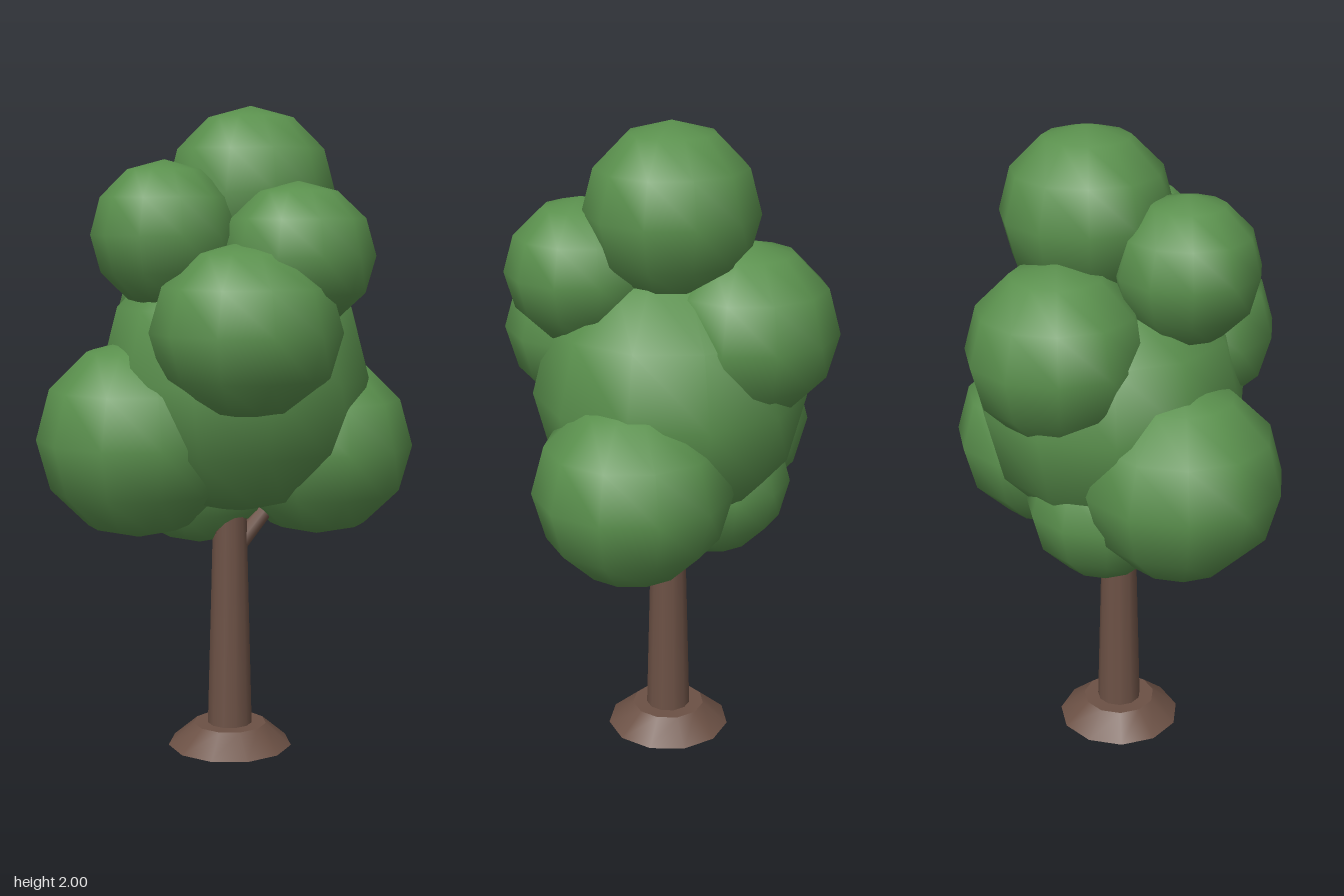
import * as THREE from 'three';

export function createModel() {
  const tree = new THREE.Group();
  tree.name = 'tree';

  const leafGreen = new THREE.MeshStandardMaterial({ color: 0x5a904d });
  leafGreen.name = 'leafGreen';
  const barkBrown = new THREE.MeshStandardMaterial({ color: 0x6c5145 });
  barkBrown.name = 'barkBrown';

  const SIDES = 11;

  // Foliage balls: name, centre x y z, horizontal radius, vertical radius
  const balls = [
    ['foliageCore', 0.02, 1.18, -0.03, 0.415, 0.43],
    ['foliageTop', 0.07, 1.74, -0.08, 0.26, 0.26],
    ['foliageUpperRight', -0.186, 1.615, 0.112, 0.22, 0.22],
    ['foliageUpperLeft', 0.208, 1.555, 0.148, 0.23, 0.217],
    ['foliageFront', 0.055, 1.337, 0.237, 0.285, 0.263],
    ['foliageBack', -0.075, 1.386, -0.249, 0.273, 0.27],
    ['foliageLowerRight', -0.273, 0.997, 0.053, 0.31, 0.307],
    ['foliageLowerLeft', 0.283, 0.956, -0.118, 0.298, 0.289],
    ['foliageUnderside', -0.09, 0.878, -0.11, 0.24, 0.238],
  ];
  const ballGeometry = new THREE.SphereGeometry(1, SIDES, 6);
  ballGeometry.rotateY(-Math.PI / 2);
  for (const [name, x, y, z, r, h] of balls) {
    const ball = new THREE.Mesh(ballGeometry, leafGreen);
    ball.name = name;
    ball.position.set(x, y, z);
    ball.scale.set(r, h, r);
    tree.add(ball);
  }

  // Tapered post between two points
  function post(name, from, to, rFrom, rTo, sides) {
    const a = new THREE.Vector3(...from);
    const b = new THREE.Vector3(...to);
    const dir = b.clone().sub(a);
    const geometry = new THREE.CylinderGeometry(rTo, rFrom, dir.length(), sides);
    geometry.rotateY(Math.PI);
    const mesh = new THREE.Mesh(geometry, barkBrown);
    mesh.name = name;
    mesh.position.copy(a).add(b).multiplyScalar(0.5);
    mesh.quaternion.setFromUnitVectors(new THREE.Vector3(0, 1, 0), dir.normalize());
    tree.add(mesh);
  }

  // Trunk, root flare and the branches running up into the foliage
  post('trunk', [0.007, 0, -0.01], [0.007, 0.85, -0.01], 0.072, 0.05, SIDES);
  post('rootFlare', [0.007, 0.012, -0.01], [0.007, 0.08, -0.01], 0.195, 0.115, SIDES);
  post('branchLeft', [0.035, 0.655, -0.015], [0.25, 0.92, -0.1], 0.028, 0.02, 8);
  post('branchRight', [0, 0.68, 0], [-0.2, 0.95, 0.04], 0.028, 0.02, 8);

  return tree;
}
